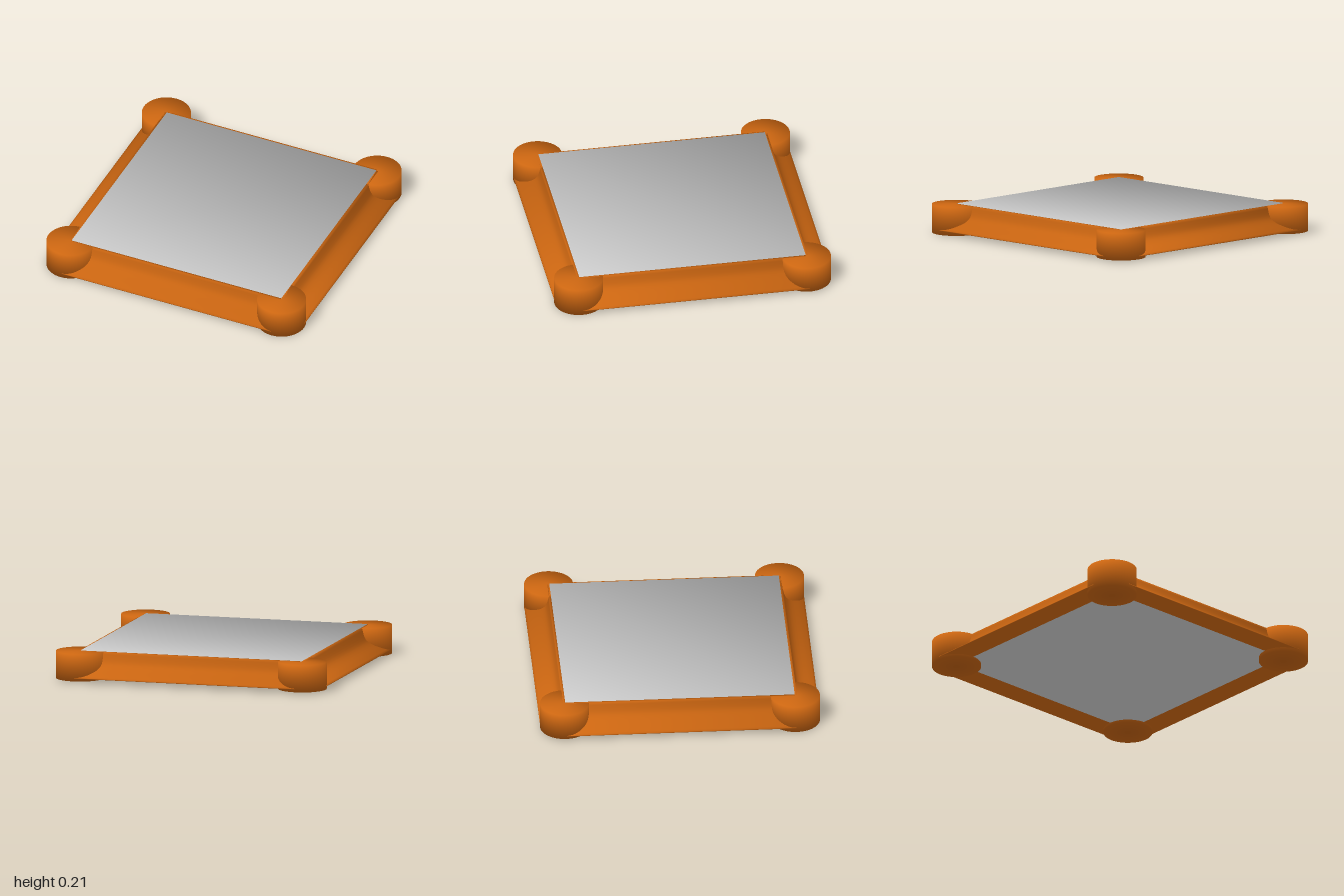
import * as THREE from 'three';

const HALF = 0.82;      // half width of the slab, also the post centres
const RADIUS = 0.175;   // corner post radius
const TOP = 0.205;

// Smooth shading: average the distinct face normals that meet at each corner.
function soften(geometry) {
  const pos = geometry.attributes.position;
  const normal = geometry.attributes.normal;
  const corners = new Map();
  const keyOf = (v) => v.toArray().map((n) => Math.round(n * 1e3)).join();
  const p = new THREE.Vector3();
  for (let i = 0; i < pos.count; i++) {
    const key = keyOf(p.fromBufferAttribute(pos, i));
    if (!corners.has(key)) corners.set(key, new Map());
    const n = new THREE.Vector3().fromBufferAttribute(normal, i);
    corners.get(key).set(keyOf(n), n);
  }
  for (let i = 0; i < pos.count; i++) {
    const sum = new THREE.Vector3();
    corners.get(keyOf(p.fromBufferAttribute(pos, i))).forEach((n) => sum.add(n));
    sum.normalize();
    normal.setXYZ(i, sum.x, sum.y, sum.z);
  }
  return geometry;
}

// Rail cross-section: flat foot, coved outer face, upright inner face.
function railGeometry() {
  const cove = new THREE.SplineCurve([
    [1, 0.035], [0.957, 0.062], [0.9, 0.092], [0.865, 0.12], [0.848, 0.155], [0.835, TOP],
  ].map(([x, y]) => new THREE.Vector2(x, y)));
  const profile = new THREE.Shape([
    new THREE.Vector2(HALF, 0.03),
    new THREE.Vector2(1, 0.03),
    ...cove.getPoints(12),
    new THREE.Vector2(HALF, TOP),
  ]);
  const geometry = new THREE.ExtrudeGeometry(profile, { depth: HALF * 2, bevelEnabled: false });
  return soften(geometry.translate(0, 0, -HALF));
}

export function createModel() {
  const model = new THREE.Group();
  const wood = new THREE.MeshStandardMaterial({ color: 0xcc6611 });
  const grey = new THREE.MeshStandardMaterial({ color: 0xcccccc });

  const add = (name, geometry, material) => {
    const mesh = new THREE.Mesh(geometry, material);
    mesh.name = name;
    model.add(mesh);
    return mesh;
  };

  // Square slab filling the frame
  const slabBottom = 0.03, slabTop = 0.209;
  const slab = new THREE.BoxGeometry(HALF * 2, slabTop - slabBottom, HALF * 2);
  add('slab', soften(slab), grey).position.y = (slabTop + slabBottom) / 2;

  // Four coved rails around the slab
  const rail = railGeometry();
  ['leftRail', 'backRail', 'rightRail', 'frontRail'].forEach((name, i) => {
    add(name, rail, wood).rotation.y = i * Math.PI / 2;
  });

  // Round corner posts; the back pair is slightly shorter
  for (const [depthName, sz, bottom] of [['front', 1, 0], ['back', -1, 0.01]]) {
    const post = soften(new THREE.CylinderGeometry(RADIUS, RADIUS, TOP - bottom, 48));
    for (const [sideName, sx] of [['Left', 1], ['Right', -1]]) {
      const c = 1 - RADIUS;
      add(`${depthName}${sideName}Post`, post, wood).position.set(sx * c, (TOP + bottom) / 2, sz * c);
    }
  }

  return model;
}
